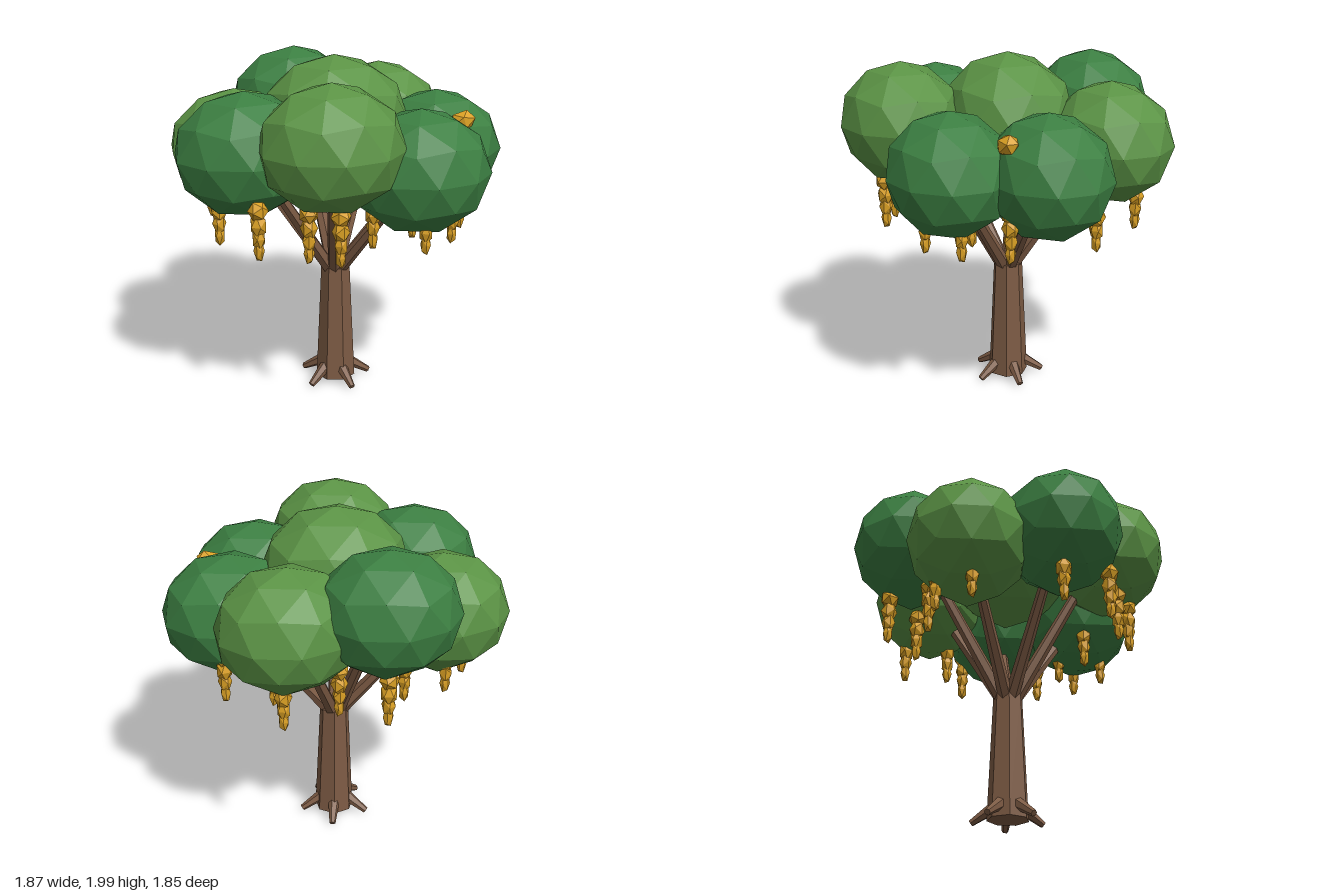
import * as THREE from 'three';

const CX = -0.03; // trunk axis
const UP = new THREE.Vector3(0, 1, 0);
const mat = (color) => new THREE.MeshStandardMaterial({ color, flatShading: true });

export function createModel() {
  const tree = new THREE.Group();
  tree.name = 'tree';
  const bark = mat(0x7d5b44), gold = mat(0xdaa024);
  const lightLeaf = mat(0x5b9345), darkLeaf = mat(0x3c7f42);

  const add = (name, geometry, material, parent = tree) => {
    const mesh = new THREE.Mesh(geometry, material);
    mesh.name = name;
    parent.add(mesh);
    return mesh;
  };

  // Tapered limb running from point a to point b
  const limb = (name, a, b, ra, rb, sides) => {
    const dir = b.clone().sub(a);
    const mesh = add(name, new THREE.CylinderGeometry(rb, ra, dir.length(), sides), bark);
    mesh.position.copy(a).lerp(b, 0.5);
    mesh.quaternion.setFromUnitVectors(UP, dir.normalize());
    return mesh;
  };

  // Point at a given angle, radius and height around the trunk axis
  const around = (angle, r, y) =>
    new THREE.Vector3(CX + r * Math.cos(angle), y, -r * Math.sin(angle));

  // Trunk
  const trunk = add('trunk', new THREE.CylinderGeometry(0.086, 0.119, 0.72, 7), bark);
  trunk.position.set(CX + 0.005, 0.39, 0);
  trunk.rotation.y = -Math.PI / 2;

  // Roots
  for (let i = 0; i < 5; i++) {
    const a = (i / 5) * Math.PI * 2;
    limb('root', around(a, 0.08, 0.105), around(a, 0.21, 0.024), 0.036, 0.019, 6);
  }

  // Faceted leaf ball with a corner pointing straight up
  const ball = new THREE.IcosahedronGeometry(1, 1).rotateZ(Math.atan(2 / (1 + Math.sqrt(5))));
  const leafBall = (name, pos, size, material) => {
    const mesh = add(name, ball, material);
    mesh.position.copy(pos);
    mesh.scale.set(0.387 * size, 0.34 * size, 0.346 * size);
  };

  // Ring of leaf balls, each carried by a branch
  for (let k = 0; k < 7; k++) {
    const a = (k / 7) * Math.PI * 2, rise = 0.09 * (k % 3);
    leafBall('leafBall', around(a, 0.595, 1.44 + rise), 1, k % 2 ? lightLeaf : darkLeaf);
    limb('branch', around(a, 0.025, 0.72), around(a, 0.405, 1.2 + rise), 0.042, 0.03, 6);
  }
  leafBall('crownTop', new THREE.Vector3(CX, 1.626, 0), 1.1, lightLeaf);

  // Hanging blossom: faceted blobs shrinking towards the tip
  const blob = new THREE.IcosahedronGeometry(1, 0);
  const blobs = [[1.295, 0.056, 0.05], [1.215, 0.048, 0.058], [1.145, 0.039, 0.058], [1.075, 0.03, 0.056]];
  const spots = [
    [0.65, 0.245], [0.65, -0.245], [0.53, 0.47], [0.34, 0.61], [0.34, 0.35], [0.4, -0.35],
    [0.4, -0.61], [0.085, 0.47], [0.085, -0.54], [-0.14, 0.7], [-0.14, -0.7], [-0.29, 0.61],
    [-0.3, -0.47], [-0.54, 0.52], [-0.55, -0.435], [-0.72, 0.24], [-0.72, -0.245],
  ];
  spots.forEach(([x, z], i) => {
    const chain = new THREE.Group();
    chain.name = 'blossomChain';
    chain.position.set(x, 0, z);
    blobs.forEach(([y, r, h], j) => {
      const mesh = add('blossom', blob, gold, chain);
      mesh.position.y = y;
      mesh.scale.set(r, h * 1.17, r);
      mesh.rotation.y = i + j * 0.7;
    });
    tree.add(chain);
  });

  // Single blossom on the outside of the crown
  const single = add('singleBlossom', blob, gold);
  single.position.set(0.64, 1.65, 0.255);
  single.scale.set(0.08, 0.06, 0.06);
  single.rotation.z = 0.3;

  return tree;
}
